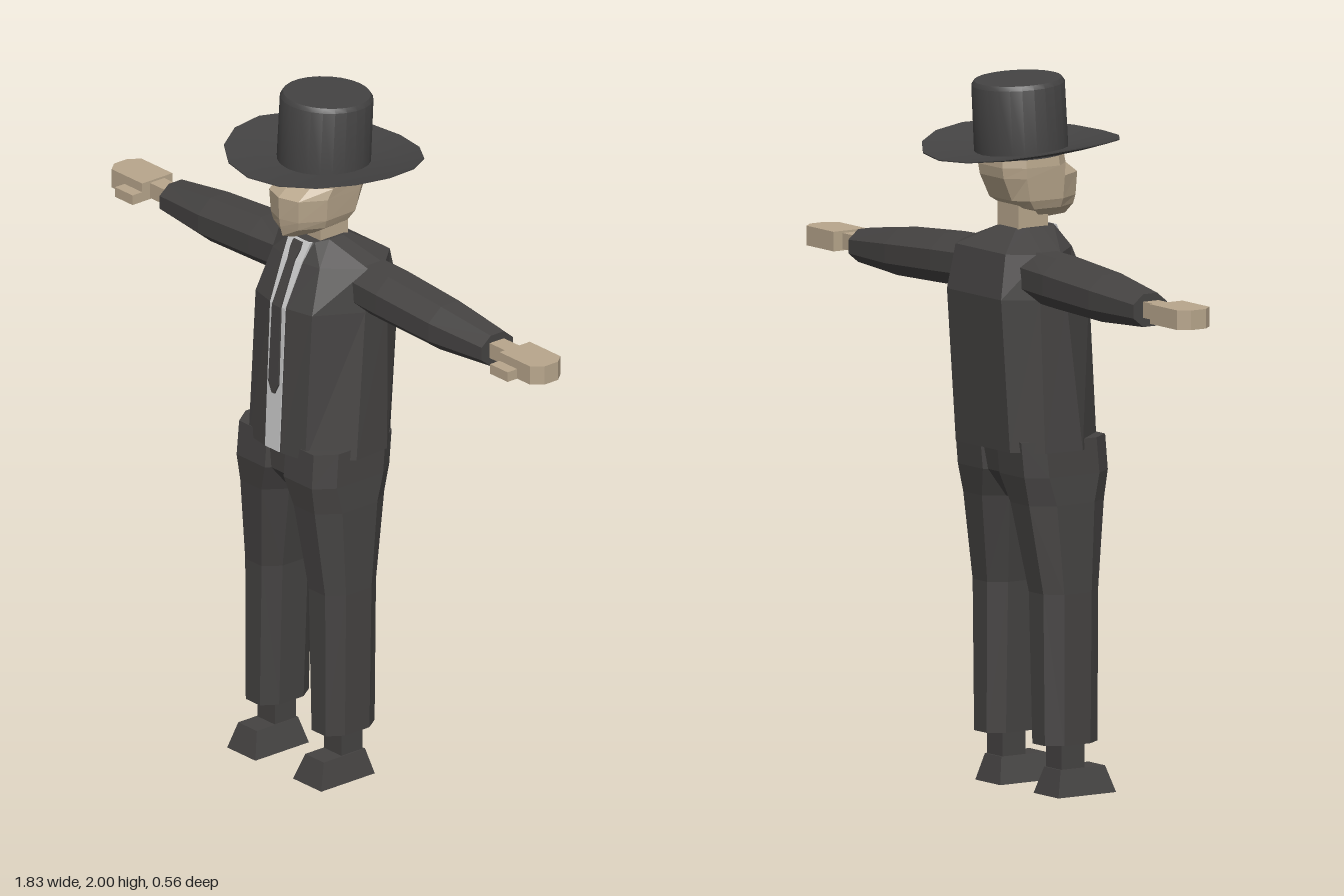
import * as THREE from 'three';
import { toCreasedNormals } from 'three/addons/utils/BufferGeometryUtils.js';

const mat = (color, extra = {}) => new THREE.MeshStandardMaterial({ color, flatShading: true, ...extra });
const suit = mat(0x454342);
const skin = mat(0xb8a68c);
const cloth = mat(0xcccccc);
const hatMat = mat(0x444343, { flatShading: false, side: THREE.DoubleSide });

// Closed flat-shaded solid through rings of equal length, always facing outward
function loft(rings) {
  const tris = [];
  const n = rings[0].length;
  for (let r = 0; r < rings.length - 1; r++) {
    for (let i = 0; i < n; i++) {
      const j = (i + 1) % n, a = rings[r], b = rings[r + 1];
      tris.push([a[i], a[j], b[j]], [a[i], b[j], b[i]]);
    }
  }
  const centre = (ring) => [0, 1, 2].map((k) => ring.reduce((s, p) => s + p[k], 0) / n);
  const first = rings[0], last = rings[rings.length - 1];
  const c0 = centre(first), c1 = centre(last);
  for (let i = 0; i < n; i++) {
    const j = (i + 1) % n;
    tris.push([c0, first[j], first[i]], [c1, last[i], last[j]]);
  }
  const v = (p) => new THREE.Vector3(...p);
  const volume = tris.reduce((s, [a, b, c]) => s + v(a).dot(v(b).cross(v(c))), 0);
  const faces = volume < 0 ? tris.map(([a, b, c]) => [a, c, b]) : tris;
  const g = new THREE.BufferGeometry();
  g.setAttribute('position', new THREE.Float32BufferAttribute(faces.flat(2), 3));
  g.computeVertexNormals();
  return g;
}

// Horizontal ring from its +x half, listed front to back as [x, z]
function symRing(y, half) {
  const mirror = half.filter(([x]) => x > 0).reverse().map(([x, z]) => [-x, y, z]);
  return [...half.map(([x, z]) => [x, y, z]), ...mirror];
}

// Horizontal ring with cut corners
function cutRing(y, x0, x1, z0, z1, cut = 0.25) {
  const dx = (x1 - x0) * cut, dz = (z1 - z0) * cut;
  return [[x0 + dx, z1], [x1 - dx, z1], [x1, z1 - dz], [x1, z0 + dz],
    [x1 - dx, z0], [x0 + dx, z0], [x0, z0 + dz], [x0, z1 - dz]].map(([x, z]) => [x, y, z]);
}

const rectRing = (y, x0, x1, z0, z1) =>
  [[x0, y, z1], [x1, y, z1], [x1, y, z0], [x0, y, z0]];

// Upright octagon around the arm axis
function sleeveRing(x, yc, hy, zc, hz) {
  return Array.from({ length: 8 }, (_, i) => {
    const a = (i + 0.5) * Math.PI / 4, k = 1 / Math.cos(Math.PI / 8);
    return [x, yc + Math.sin(a) * hy * k, zc + Math.cos(a) * hz * k];
  });
}

export function createModel() {
  const model = new THREE.Group();
  const add = (name, geometry, material, parent = model) => {
    const mesh = new THREE.Mesh(geometry, material);
    mesh.name = name;
    parent.add(mesh);
    return mesh;
  };

  // Jacket body
  add('jacket', loft([
    symRing(0.97, [[0.035, 0.185], [0.12, 0.17], [0.21, 0.06], [0.2, -0.06], [0.13, -0.13]]),
    symRing(1.4, [[0.035, 0.165], [0.12, 0.145], [0.195, 0.015], [0.19, -0.07], [0.13, -0.16]]),
    symRing(1.525, [[0.035, 0.112], [0.1, 0.1], [0.19, 0.0], [0.19, -0.06], [0.12, -0.138]]),
    symRing(1.58, [[0.035, 0.085], [0.05, 0.075], [0.06, 0.03], [0.06, -0.02], [0.04, -0.045]]),
  ]), suit);

  // Shirt strip and necktie lie along the jacket front
  const strip = (rows, lift) => loft(rows.map(([y, w, z]) => rectRing(y, -w, w, z - 0.01, z + lift)));
  add('shirt', strip([[0.972, 0.03, 0.185], [1.4, 0.032, 0.165], [1.525, 0.04, 0.112], [1.58, 0.045, 0.085]], 0.003), cloth);
  add('necktie', strip([[1.14, 0.006, 0.177], [1.17, 0.021, 0.176], [1.4, 0.018, 0.165],
    [1.525, 0.014, 0.112], [1.555, 0.02, 0.097], [1.575, 0.018, 0.088]], 0.008), suit);

  // Neck and head
  add('neck', loft([rectRing(1.55, -0.05, 0.05, -0.045, 0.055), rectRing(1.66, -0.05, 0.05, -0.045, 0.055)]), skin);
  const headRow = (y, w, zf, zb) => symRing(y, [[0, zf], [w * 0.6, zf - 0.02], [w, zf * 0.45],
    [w * 0.95, zb * 0.5], [w * 0.55, zb], [0, zb]]);
  const head = loft([
    headRow(1.605, 0.04, 0.15, 0.07),
    headRow(1.635, 0.088, 0.158, -0.03),
    headRow(1.66, 0.098, 0.162, -0.07),
    headRow(1.725, 0.104, 0.165, -0.1),
    headRow(1.755, 0.106, 0.125, -0.105),
    headRow(1.81, 0.1, 0.115, -0.1),
  ]);
  add('head', head, skin);

  // Hat: crown and curled brim, tipped slightly back
  const hat = new THREE.Group();
  hat.name = 'hat';
  hat.position.y = 1.785;
  hat.rotation.x = -0.057;
  model.add(hat);
  const crown = new THREE.LatheGeometry([[0.131, 0], [0.13, 0.195], [0.122, 0.207], [0, 0.209]]
    .map((p) => new THREE.Vector2(...p)), 24);
  add('hatCrown', toCreasedNormals(crown, 0.6), hatMat, hat);
  const brim = new THREE.LatheGeometry([[0, -0.004], [0.13, -0.004], [0.2, -0.003], [0.278, 0],
    [0.278, 0.003], [0.2, 0.005], [0.13, 0.006]].map((p) => new THREE.Vector2(...p)), 16);
  const p = brim.attributes.position;
  for (let i = 0; i < p.count; i++) {
    const x = p.getX(i), z = p.getZ(i);
    p.setY(i, p.getY(i) + 0.2 * (x * x + z * z) + 0.36 * x * x);
  }
  add('hatBrim', toCreasedNormals(brim, 0.6), hatMat, hat);

  // Limbs, mirrored left and right
  for (const [side, s] of [['left', 1], ['right', -1]]) {
    const limb = (name, rings, material) =>
      add(side + name, loft(rings.map((r) => r.map(([x, y, z]) => [x * s, y, z]))), material);

    limb('Sleeve', [
      sleeveRing(0.13, 1.462, 0.07, -0.035, 0.075),
      sleeveRing(0.27, 1.457, 0.07, -0.038, 0.081),
      sleeveRing(0.49, 1.445, 0.065, -0.04, 0.078),
      sleeveRing(0.685, 1.437, 0.046, -0.046, 0.057),
    ], suit);
    limb('Wrist', [rectRing(1.417, 0.66, 0.78, -0.07, -0.018), rectRing(1.462, 0.66, 0.78, -0.07, -0.018)], skin);
    const palm = [[0.76, 0.01], [0.89, 0.01], [0.915, -0.02], [0.915, -0.07], [0.89, -0.1], [0.76, -0.1]];
    limb('Hand', [1.413, 1.468].map((y) => palm.map(([x, z]) => [x, y, z])), skin);
    limb('Thumb', [rectRing(1.413, 0.76, 0.835, 0, 0.045), rectRing(1.442, 0.76, 0.835, 0, 0.045)], skin);

    limb('TrouserLeg', [
      cutRing(0.145, 0.08, 0.2, -0.04, 0.138),
      cutRing(0.57, 0.065, 0.205, -0.045, 0.14),
      cutRing(0.82, 0.024, 0.203, -0.085, 0.168),
      cutRing(0.9, 0, 0.2, -0.102, 0.18, 0.2),
      cutRing(1.0, 0, 0.198, -0.112, 0.172, 0.2),
    ], suit);
    limb('Ankle', [rectRing(0.06, 0.105, 0.178, 0.01, 0.088), rectRing(0.17, 0.105, 0.178, 0.01, 0.088)], suit);
    limb('Shoe', [rectRing(0, 0.08, 0.2, -0.015, 0.18), rectRing(0.075, 0.103, 0.182, 0.005, 0.155)], suit);
  }

  // Seat of the trousers, bridging the legs
  add('trouserSeat', loft([
    rectRing(0.82, -0.05, 0.05, -0.03, 0.1),
    rectRing(0.9, -0.08, 0.08, -0.09, 0.165),
    rectRing(1.0, -0.1, 0.1, -0.108, 0.168),
  ]), suit);

  return model;
}
